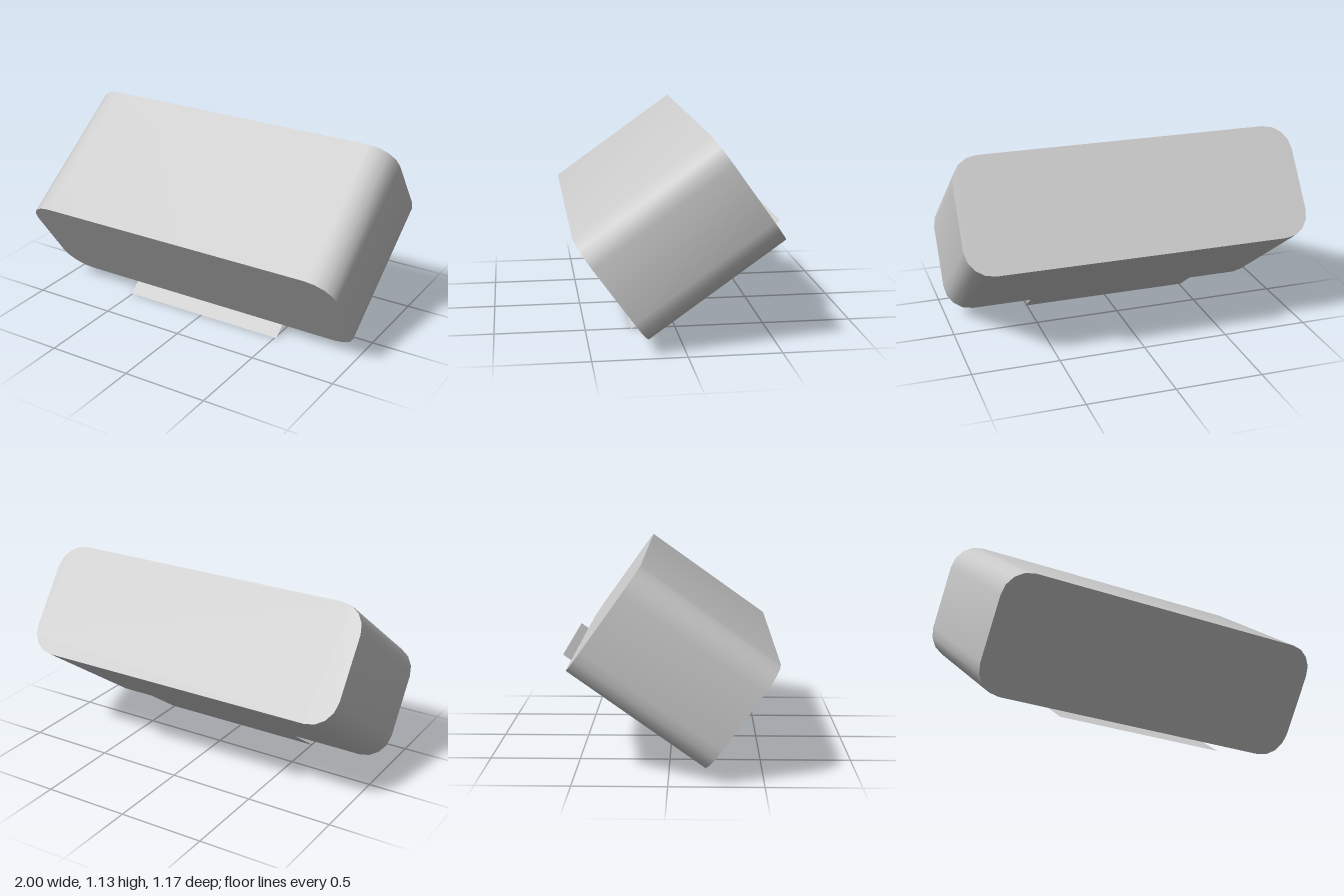
import * as THREE from 'three';
import { toCreasedNormals } from 'three/addons/utils/BufferGeometryUtils.js';

const TILT = THREE.MathUtils.degToRad(35.5);

// Rectangle with rounded corners, centred on the origin
function roundedRect(w, h, r) {
  const x = w / 2 - r, y = h / 2 - r, q = Math.PI / 2;
  const shape = new THREE.Shape();
  [[x, y], [-x, y], [-x, -y], [x, -y]].forEach(([cx, cy], i) =>
    shape.absarc(cx, cy, r, i * q, (i + 1) * q, false));
  shape.closePath();
  return shape;
}

export function createModel() {
  const model = new THREE.Group();
  model.name = 'tiltedBlock';

  // Body: rounded profile extruded along the tilted axis
  const depth = 0.885;
  const bodyGeometry = new THREE.ExtrudeGeometry(roundedRect(2, 0.677, 0.155), {
    depth, bevelEnabled: false, curveSegments: 2,
  });
  bodyGeometry.translate(0, 0, -depth / 2);
  const body = new THREE.Mesh(
    toCreasedNormals(bodyGeometry, THREE.MathUtils.degToRad(55)),
    new THREE.MeshStandardMaterial({ color: 0xcccccc }),
  );
  body.name = 'body';
  body.position.set(0, 0.595, 0.024);
  body.rotation.x = TILT;
  model.add(body);

  // Base plate: thin square sheet just under the body
  const size = 1.02;
  const plate = new THREE.Mesh(
    new THREE.PlaneGeometry(size, size).rotateX(Math.PI / 2),
    new THREE.MeshStandardMaterial({ color: 0xcccccc, side: THREE.DoubleSide }),
  );
  plate.name = 'basePlate';
  plate.position.set(0, Math.sin(TILT) * size / 2, -0.585 + Math.cos(TILT) * size / 2);
  plate.rotation.x = TILT;
  model.add(plate);

  return model;
}
